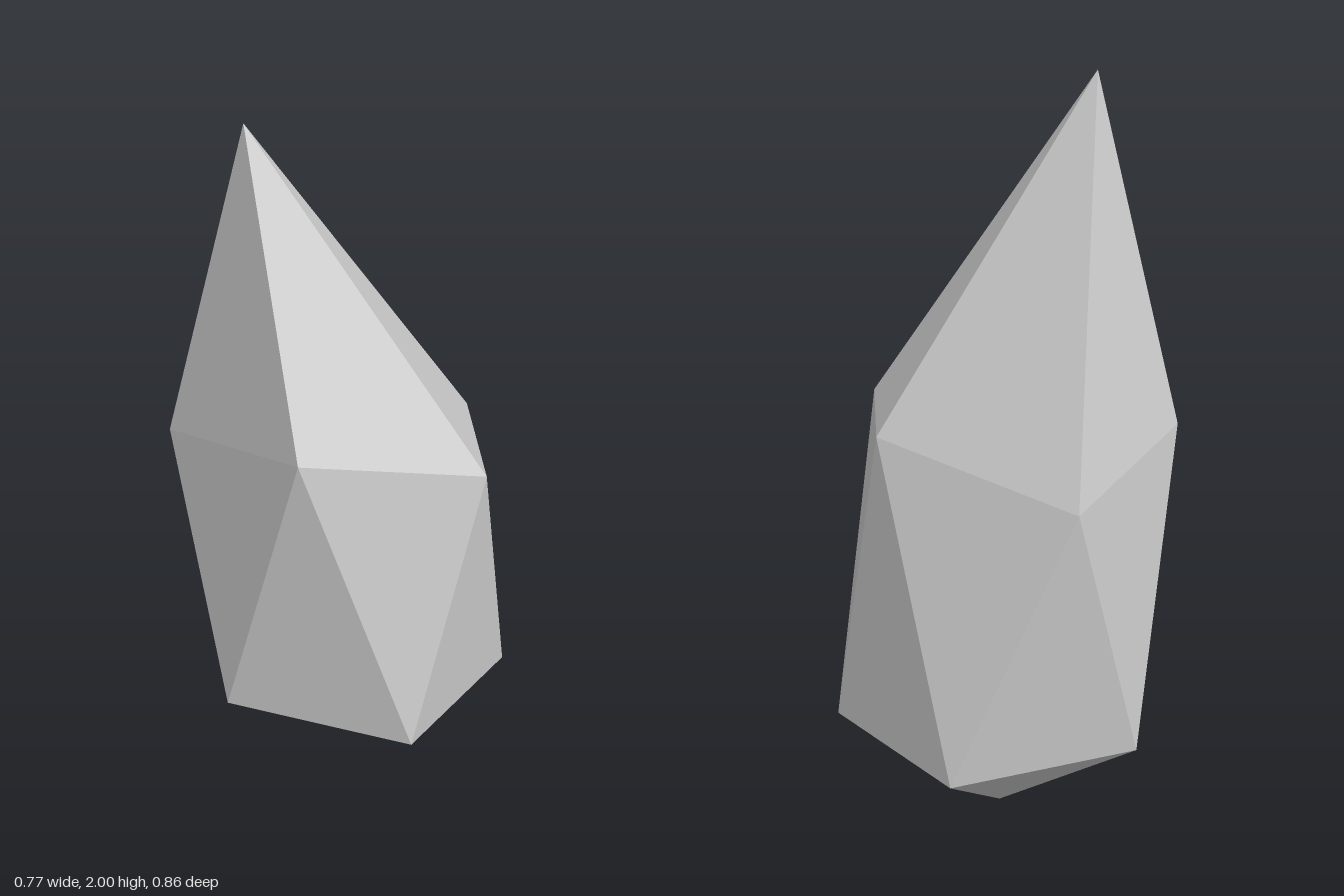
import * as THREE from 'three';

// Faceted crystal: two staggered five-point rings closed by a tip and a base point
const tip = [-0.2, 2, -0.095];
const base = [0.03, 0, 0.01];
const upper = [
  [-0.313, 1.27, 0.242], [0.15, 1.12, 0.405], [0.34, 1.1, 0.117],
  [0.125, 1, -0.43], [-0.338, 1.1, -0.273],
];
// lower[i] sits between upper[i] and upper[i + 1]
const lower = [
  [-0.09, 0.35, 0.427], [0.386, 0.275, 0.268], [0.386, 0.27, -0.248],
  [-0.1, 0.285, -0.407], [-0.389, 0.367, 0.01],
];

export function createModel() {
  const corners = [];
  for (let i = 0; i < 5; i++) {
    const j = (i + 1) % 5;
    corners.push(
      tip, upper[i], upper[j],        // point
      upper[i], lower[i], upper[j],   // sides
      upper[j], lower[i], lower[j],
      base, lower[j], lower[i],       // underside
    );
  }
  const geometry = new THREE.BufferGeometry();
  geometry.setAttribute('position', new THREE.Float32BufferAttribute(corners.flat(), 3));
  geometry.computeVertexNormals();

  const crystal = new THREE.Mesh(
    geometry,
    new THREE.MeshStandardMaterial({ color: 0xcccccc, flatShading: true }),
  );
  crystal.name = 'crystal';

  const group = new THREE.Group();
  group.name = 'crystalShard';
  group.add(crystal);
  return group;
}
